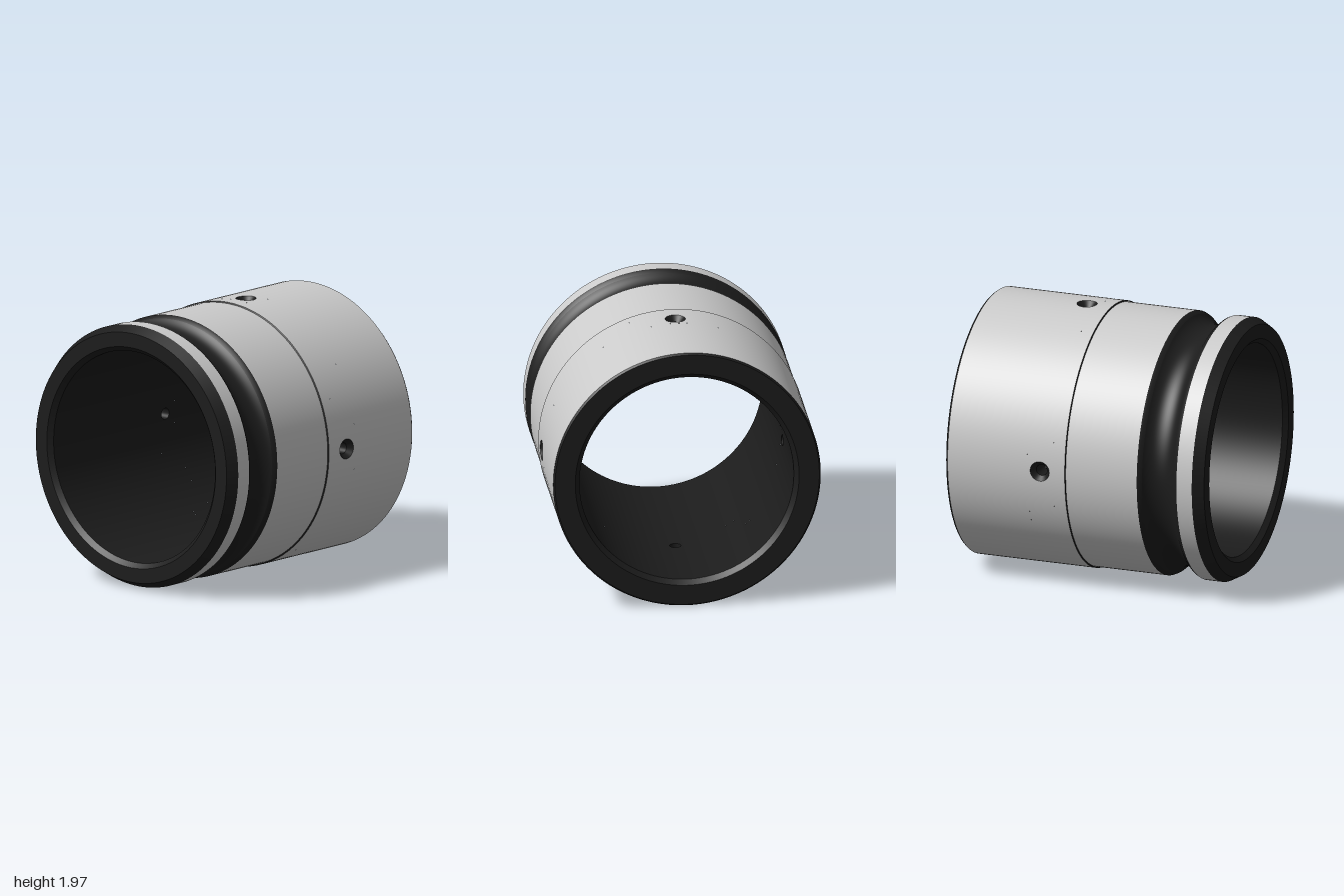
import * as THREE from 'three';

const R = 0.986, R2 = 0.977, BORE = 0.79;   // collar, body and bore radii
const HOLE_X = 0.265, HALF = 0.1;           // hole position and half size of its wall patch
const BAND = [HOLE_X - HALF, HOLE_X + HALF];

export function createModel() {
  const model = new THREE.Group();
  const grey = new THREE.MeshStandardMaterial({ color: 0xcccccc });
  const dark = new THREE.MeshStandardMaterial({ color: 0x1c1c1c });

  const add = (name, geometry, material) => {
    const mesh = new THREE.Mesh(geometry, material);
    mesh.name = name;
    mesh.position.y = R;
    model.add(mesh);
    return mesh;
  };

  // Surface turned about the x axis; profile points are [x, radius]
  const turn = (name, points, material, start = 0, length = Math.PI * 2) => {
    const profile = points.map(([x, r]) => new THREE.Vector2(r, x));
    const segments = Math.ceil(144 * length / (Math.PI * 2));
    const geometry = new THREE.LatheGeometry(profile, segments, start, length);
    add(name, geometry.rotateZ(-Math.PI / 2), material);
  };

  // Outer skin
  turn('endChamfer', [[-1, 0.933], [-0.92, R2]], dark);
  turn('rim', [[-0.92, R2], [-0.8, R2]], grey);
  turn('body', [[-0.49, R2], [0.065, R2]], grey);
  turn('collarStep', [[0.065, R2], [0.07, R]], dark);
  turn('collarInner', [[0.07, R], [BAND[0], R]], grey);
  turn('collarOuter', [[BAND[1], R], [0.985, R]], grey);
  turn('collarChamfer', [[0.985, R], [1, 0.974]], dark);

  // Round-bottomed groove with eased lips
  const groove = [];
  for (let i = 0; i <= 20; i++) {
    const a = (i / 10 - 1) * 0.96;
    groove.push([-0.645 + 0.149 * Math.sin(a), 1.04 - 0.149 * Math.cos(a)]);
  }
  turn('grooveLip', [[-0.8, R2], [-0.783, 0.969], groove[0]], dark);
  turn('groove', groove, dark);
  turn('grooveLip', [groove[20], [-0.507, 0.969], [-0.49, R2]], dark);

  // End faces and bore
  turn('rightFace', [[1, 0.974], [1, 0.825]], dark);
  turn('boreChamfer', [[1, 0.825], [0.965, BORE]], dark);
  turn('bore', [[0.965, BORE], [BAND[1], BORE]], dark);
  turn('bore', [[BAND[0], BORE], [-0.965, BORE]], dark);
  turn('boreChamfer', [[-0.965, BORE], [-1, 0.825]], dark);
  turn('leftFace', [[-1, 0.825], [-1, 0.933]], dark);

  // Loft between closed rings of points around a hole that faces +z
  const N = 64;
  const loft = (rings, radial = 0) => {
    const position = [], normal = [], index = [];
    rings.forEach((ring, j) => {
      for (let i = 0; i <= N; i++) {
        const p = ring(i / N * Math.PI * 2);
        position.push(...p);
        const len = Math.hypot(p[1], p[2]) * radial;
        normal.push(0, p[1] / len, p[2] / len);
        if (j && i < N) {
          const a = (j - 1) * (N + 1) + i, b = a + N + 1;
          index.push(a, a + 1, b, a + 1, b + 1, b);
        }
      }
    });
    const geometry = new THREE.BufferGeometry();
    geometry.setAttribute('position', new THREE.Float32BufferAttribute(position, 3));
    geometry.setIndex(index);
    if (radial) geometry.setAttribute('normal', new THREE.Float32BufferAttribute(normal, 3));
    else geometry.computeVertexNormals();
    return geometry;
  };
  const circle = (r, z) => t => {
    const y = r * Math.sin(t);
    return [HOLE_X + r * Math.cos(t), y, z(y)];
  };
  const square = z => t => {
    const s = HALF / Math.max(Math.abs(Math.cos(t)), Math.abs(Math.sin(t)));
    return circle(s, z)(t);
  };
  const onCylinder = r => y => Math.sqrt(r * r - y * y);
  const outer = onCylinder(R), inner = onCylinder(BORE), seat = () => 0.945;

  const skinPatch = loft([square(outer), circle(0.075, outer)], 1);
  const borePatch = loft([circle(0.042, inner), square(inner)], -1);
  const countersink = loft([circle(0.075, outer), circle(0.042, seat)]);
  const drilling = loft([circle(0.042, seat), circle(0.042, inner)]);

  // Four oil holes with the wall arcs between them
  for (let k = 0; k < 4; k++) {
    const turnBy = k * Math.PI / 2;
    [['collarPatch', skinPatch, grey], ['borePatch', borePatch, dark],
      ['countersink', countersink, dark], ['oilHole', drilling, dark]]
      .forEach(([name, geometry, material]) => { add(name, geometry, material).rotation.x = turnBy; });
    const a = Math.asin(HALF / R), b = Math.asin(HALF / BORE);
    turn('collarBand', [[BAND[0], R], [BAND[1], R]], grey, turnBy + a, Math.PI / 2 - 2 * a);
    turn('boreBand', [[BAND[1], BORE], [BAND[0], BORE]], dark, turnBy + b, Math.PI / 2 - 2 * b);
  }
  return model;
}
